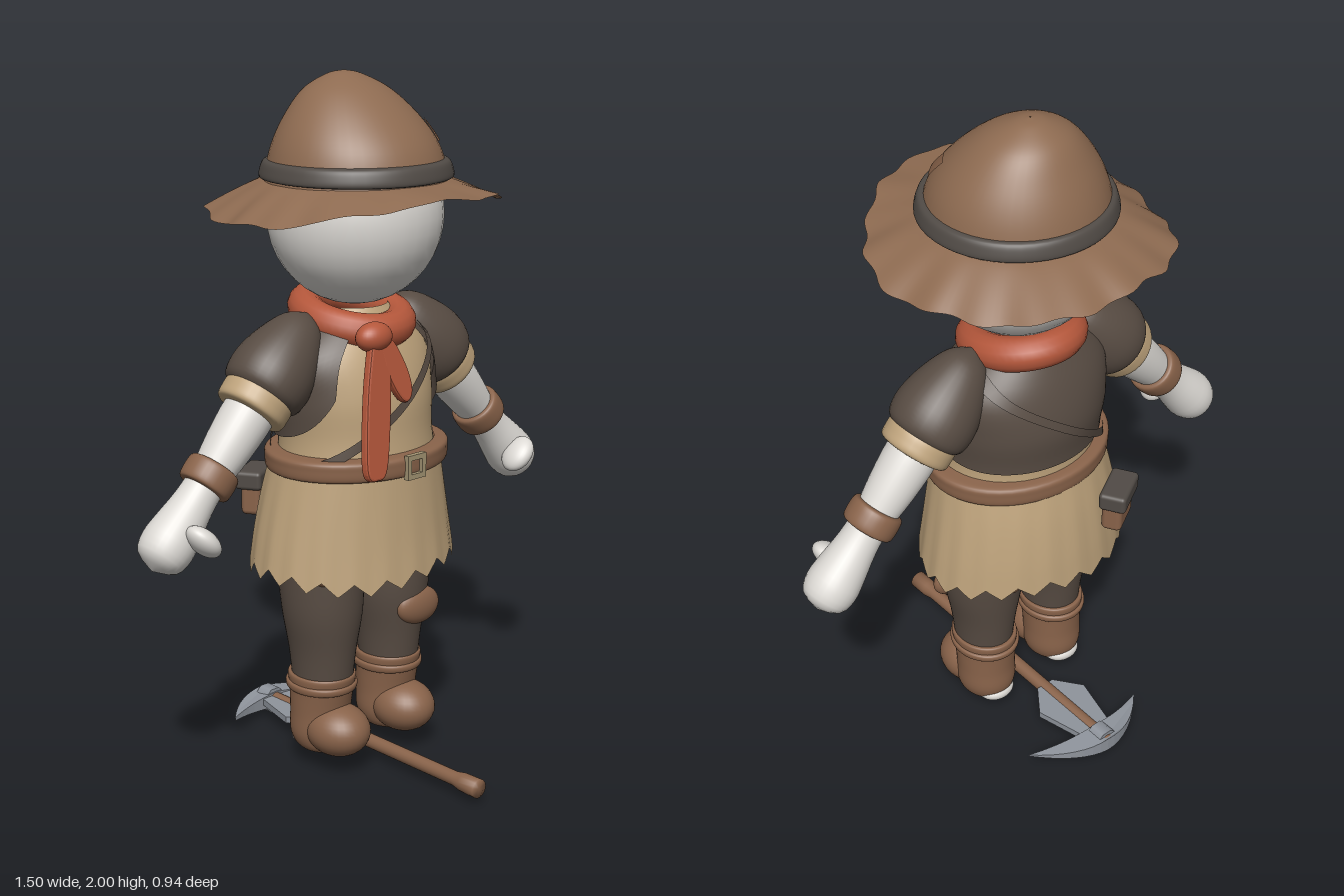
import * as THREE from 'three';
import { mergeVertices } from 'three/addons/utils/BufferGeometryUtils.js';
import { RoundedBoxGeometry } from 'three/addons/geometries/RoundedBoxGeometry.js';

const TAU = Math.PI * 2;
const paint = (name, color) => {
  const m = new THREE.MeshStandardMaterial({ color, side: THREE.DoubleSide });
  m.name = name;
  return m;
};

// Smooth grid surface from a rule (u, v) -> point
function surf(rule, nu, nv) {
  const pos = [], idx = [];
  for (let j = 0; j <= nv; j++)
    for (let i = 0; i <= nu; i++) pos.push(...rule(i / nu, j / nv).toArray());
  for (let j = 0; j < nv; j++)
    for (let i = 0; i < nu; i++) {
      const a = j * (nu + 1) + i, d = a + nu + 1;
      idx.push(a, a + 1, d + 1, a, d + 1, d);
    }
  let g = new THREE.BufferGeometry();
  g.setAttribute('position', new THREE.Float32BufferAttribute(pos, 3));
  g.setIndex(idx);
  g = mergeVertices(g);
  g.computeVertexNormals();
  return g;
}

// Upright elliptical form; each section is [y, rx, rz, centre z]
function shell(sections, cx = 0) {
  const size = new THREE.CatmullRomCurve3(sections.map(s => new THREE.Vector3(s[0], s[1], s[2])), false, 'catmullrom');
  const mid = new THREE.CatmullRomCurve3(sections.map(s => new THREE.Vector3(s[3], 0, 0)), false, 'catmullrom');
  return (angle, v, off = 0) => {
    const s = size.getPoint(v), z = mid.getPoint(v).x;
    return new THREE.Vector3(cx + (s.y + off) * Math.sin(angle), s.x, z + (s.z + off) * Math.cos(angle));
  };
}
const loft = (form, nv = 20) => surf((u, v) => form(u * TAU, v), 48, nv);

export function createModel() {
  const root = new THREE.Group();
  const hatBrown = paint('hat brown', 0x8e6b51), charcoal = paint('charcoal', 0x514b46);
  const darkCloth = paint('dark cloth', 0x584c43), tan = paint('tan cloth', 0xbda27b);
  const red = paint('scarf red', 0xb4573b), skin = paint('pale skin', 0xdcd9d4);
  const leather = paint('leather', 0x89634a), steel = paint('steel', 0x8f949c);
  const brass = paint('dull brass', 0xa39473);

  const add = (name, geo, mat, x = 0, y = 0, z = 0, parent = root) => {
    const m = new THREE.Mesh(geo, mat);
    m.name = name;
    m.position.set(x, y, z);
    parent.add(m);
    return m;
  };
  const blob = (name, mat, x, y, z, rx, ry, rz, parent) =>
    add(name, new THREE.SphereGeometry(1, 32, 20).scale(rx, ry, rz), mat, x, y, z, parent);

  // Head and hat
  blob('head', skin, 0, 1.61, -0.035, 0.25, 0.25, 0.245);
  const crown = shell([[1.7, 0.26, 0.26, -0.03], [1.8, 0.235, 0.23, -0.035], [1.88, 0.19, 0.18, -0.05],
    [1.95, 0.125, 0.115, -0.07], [1.99, 0.05, 0.045, -0.08], [2.0, 0.002, 0.002, -0.08]]);
  add('hatCrown', loft(crown, 30), hatBrown);
  add('hatPatch', surf((u, v) => crown(0.62 + 0.27 * u + 0.08 * v, 0.23 + 0.14 * v, 0.006), 6, 6), leather);
  add('hatBand', loft(shell([[1.712, 0.255, 0.255, -0.03], [1.718, 0.271, 0.268, -0.03],
    [1.74, 0.268, 0.265, -0.03], [1.76, 0.259, 0.256, -0.03], [1.766, 0.24, 0.24, -0.03]])), charcoal);
  add('hatBrim', surf((u, v) => {
    const a = u * TAU, s = Math.sin(a), c = Math.cos(a);
    const edge = 0.405 + 0.007 * Math.sin(18 * a) + 0.008 * Math.sin(5 * a + 1);
    const r = 0.245 + (edge - 0.245) * v;
    const drop = 0.045 - 0.025 * c + 0.05 * s * s + 0.006 * Math.sin(9 * a);
    return new THREE.Vector3(r * s, 1.712 - drop * Math.pow(v, 1.2), -0.035 + r * c * 1.01);
  }, 144, 10), hatBrown);

  // Shirt, open vest and diagonal strap
  const torso = shell([[0.88, 0.25, 0.21, -0.03], [1.0, 0.235, 0.2, -0.035], [1.12, 0.245, 0.2, -0.045],
    [1.24, 0.235, 0.165, -0.05], [1.36, 0.1, 0.1, -0.05]]);
  const level = y => (y - 0.88) / 0.48;
  add('shirt', loft(torso), tan);
  add('vest', surf((u, v) => {
    const open = 0.85 - 0.25 * v;
    const hem = 1.0 + 0.13 * Math.pow(Math.abs(2 * u - 1), 6);
    return torso(open + u * (TAU - 2 * open), level(hem + (1.335 - hem) * v), 0.014);
  }, 64, 16), darkCloth);
  add('shoulderStrap', surf((u, v) => {
    const a = u * TAU;
    return torso(a, level(1.1 + 0.19 * Math.sin(a) + 0.03 * v), 0.022);
  }, 64, 1), darkCloth);

  // Skirt with a ragged hem, belt and buckle
  const skirt = shell([[0.6, 0.32, 0.262, -0.05], [0.7, 0.305, 0.252, -0.05], [0.82, 0.283, 0.238, -0.045], [0.94, 0.258, 0.22, -0.035]]);
  add('skirt', surf((u, v) => {
    const tooth = Math.abs(((u * 20) % 1) * 2 - 1);
    const p = skirt(u * TAU, v);
    p.y += (1 - v) * (0.038 * tooth + 0.012 * Math.sin(u * TAU * 3) - 0.012);
    return p;
  }, 160, 12), tan);
  add('belt', loft(shell([[0.9, 0.255, 0.21, -0.03], [0.906, 0.279, 0.232, -0.03], [0.935, 0.283, 0.236, -0.03],
    [0.958, 0.279, 0.232, -0.03], [0.965, 0.24, 0.2, -0.03]])), leather);
  const buckle = new THREE.Shape([[-0.035, -0.035], [0.035, -0.035], [0.035, 0.035], [-0.035, 0.035]].map(p => new THREE.Vector2(...p)));
  buckle.holes.push(new THREE.Path([[-0.02, -0.02], [-0.02, 0.02], [0.02, 0.02], [0.02, -0.02]].map(p => new THREE.Vector2(...p))));
  add('buckle', new THREE.ExtrudeGeometry(buckle, { depth: 0.016, bevelEnabled: false }), brass, 0, 0.932, 0.2);

  // Pouch on the back of the right hip
  const pouch = new THREE.Group();
  pouch.name = 'pouch';
  pouch.position.set(-0.15, 0.79, -0.27);
  pouch.rotation.y = Math.atan2(-0.5, -0.85);
  root.add(pouch);
  add('pouchBag', new RoundedBoxGeometry(0.12, 0.1, 0.06, 3, 0.015), leather, 0, -0.015, 0.02, pouch);
  add('pouchFlap', new RoundedBoxGeometry(0.14, 0.055, 0.08, 3, 0.012), charcoal, 0, 0.04, 0.024, pouch);

  // Neck scarf, knot and hanging tails
  class ScarfLoop extends THREE.Curve {
    getPoint(t, p = new THREE.Vector3()) {
      const a = t * TAU;
      return p.set(0.128 * Math.sin(a), 1.328 - 0.03 * Math.cos(a), -0.05 + 0.137 * Math.cos(a));
    }
  }
  add('scarf', new THREE.TubeGeometry(new ScarfLoop(), 48, 0.05, 14, true), red);
  blob('scarfKnot', red, -0.09, 1.3, 0.135, 0.058, 0.042, 0.042);
  const tail = (name, pts, tilt, z) => {
    const s = new THREE.Shape().moveTo(...pts[0]);
    s.splineThru(pts.slice(1).map(p => new THREE.Vector2(...p)));
    const g = new THREE.ExtrudeGeometry(s, { depth: 0.014, bevelSize: 0.007, bevelThickness: 0.007, bevelSegments: 2, curveSegments: 6 });
    add(name, g, red, -0.09, 1.29, z).rotation.x = tilt;
  };
  tail('longTail', [[0.03, 0], [0.015, -0.15], [-0.025, -0.34], [-0.06, -0.37], [-0.09, -0.34], [-0.06, -0.15], [-0.02, 0]], -0.16, 0.14);
  tail('shortTail', [[0, 0], [0.045, -0.01], [0.085, -0.09], [0.095, -0.15], [0.075, -0.175], [0.045, -0.14], [0.015, -0.07]], -0.17, 0.14);

  for (const side of [1, -1]) {
    // Arm: parts lie along the local -y axis
    const arm = new THREE.Group();
    arm.name = side > 0 ? 'leftArm' : 'rightArm';
    arm.position.set(0.24 * side, 1.26, -0.05);
    arm.rotation.z = 0.742 * side;
    root.add(arm);
    const along = (name, mat, pts) => {
      const curve = new THREE.SplineCurve(pts.map(([s, r]) => new THREE.Vector2(r, -s)).reverse());
      add(name, new THREE.LatheGeometry(curve.getPoints(24), 32), mat, 0, 0, 0, arm);
    };
    along('bareArm', skin, [[0.08, 0.06], [0.2, 0.074], [0.32, 0.068], [0.42, 0.056], [0.5, 0.058], [0.58, 0.07], [0.64, 0.076], [0.69, 0.06], [0.716, 0.001]]);
    along('sleeve', darkCloth, [[-0.12, 0.001], [-0.08, 0.06], [0, 0.1], [0.08, 0.12], [0.14, 0.115], [0.165, 0.09]]);
    along('sleeveCuff', tan, [[0.14, 0.08], [0.15, 0.1], [0.18, 0.103], [0.208, 0.098], [0.215, 0.07]]);
    along('wristBand', leather, [[0.385, 0.055], [0.39, 0.073], [0.42, 0.077], [0.452, 0.073], [0.457, 0.055]]);
    const thumb = blob('thumb', skin, 0.615 * side, 0.81, 0.035, 0.032, 0.06, 0.05);
    thumb.rotation.z = -0.75 * side;

    // Leg and boot
    const x = 0.132 * side;
    add('trouserLeg', loft(shell([[0.24, 0.082, 0.09, -0.035], [0.36, 0.092, 0.105, -0.035], [0.48, 0.113, 0.122, -0.035], [0.6, 0.12, 0.13, -0.04], [0.72, 0.125, 0.13, -0.04]], x)), darkCloth);
    add('boot', loft(shell([[0.045, 0.002, 0.002, -0.04], [0.055, 0.06, 0.07, -0.04], [0.1, 0.086, 0.09, -0.045],
      [0.17, 0.088, 0.09, -0.045], [0.24, 0.09, 0.098, -0.04], [0.285, 0.094, 0.105, -0.038], [0.29, 0.08, 0.09, -0.038]], x), 30), leather);
    blob('bootToe', leather, x, 0.125, 0.03, 0.09, 0.077, 0.102);
    add('bootStrap', loft(shell([[0.238, 0.085, 0.09, -0.04], [0.244, 0.097, 0.107, -0.04], [0.262, 0.099, 0.109, -0.04], [0.268, 0.085, 0.09, -0.04]], x)), leather);
    blob('heel', skin, x, 0.075, -0.092, 0.058, 0.03, 0.048);
  }

  // Trouser patches
  blob('kneePatch', leather, 0.155, 0.445, 0.065, 0.082, 0.058, 0.035).rotation.z = -0.1;
  blob('thighPatch', leather, -0.2, 0.615, 0.05, 0.032, 0.03, 0.03);
  blob('backPatch', leather, 0.11, 0.535, -0.148, 0.035, 0.035, 0.022);

  // Pickaxe lying under the feet
  const handle = new THREE.LatheGeometry([[0.001, -0.46], [0.02, -0.46], [0.021, 0], [0.021, 0.38], [0.027, 0.41],
    [0.028, 0.47], [0.001, 0.47]].map(p => new THREE.Vector2(...p)), 20).rotateX(Math.PI / 2);
  add('pickHandle', handle, leather, 0, 0.045, 0);
  add('pickSocket', new THREE.CylinderGeometry(0.041, 0.041, 0.05, 8).rotateX(Math.PI / 2).rotateZ(Math.PI / 8), steel, 0, 0.038, -0.43);
  const blade = new THREE.Shape().moveTo(0.22, -0.35);
  blade.quadraticCurveTo(0, -0.58, -0.19, -0.37);
  blade.quadraticCurveTo(0, -0.44, 0.22, -0.35);
  const bladeGeo = new THREE.ExtrudeGeometry(blade, { depth: 0.05, bevelEnabled: false, curveSegments: 16 }).rotateX(Math.PI / 2).translate(0, 0.025, 0);
  const bp = bladeGeo.attributes.position;
  for (let i = 0; i < bp.count; i++) bp.setY(i, bp.getY(i) * (1 - Math.abs(bp.getX(i)) / 0.24));
  bladeGeo.computeVertexNormals();
  add('pickBlade', bladeGeo, steel, 0, 0.042, 0);
  const plate = new THREE.Shape([[-0.05, -0.41], [0.05, -0.41], [0.09, -0.25], [0.03, -0.17], [-0.03, -0.17], [-0.09, -0.25]].map(p => new THREE.Vector2(...p)));
  add('pickPlate', new THREE.ExtrudeGeometry(plate, { depth: 0.02, bevelEnabled: false }).rotateX(Math.PI / 2), steel, 0, 0.058, 0);
  return root;
}
